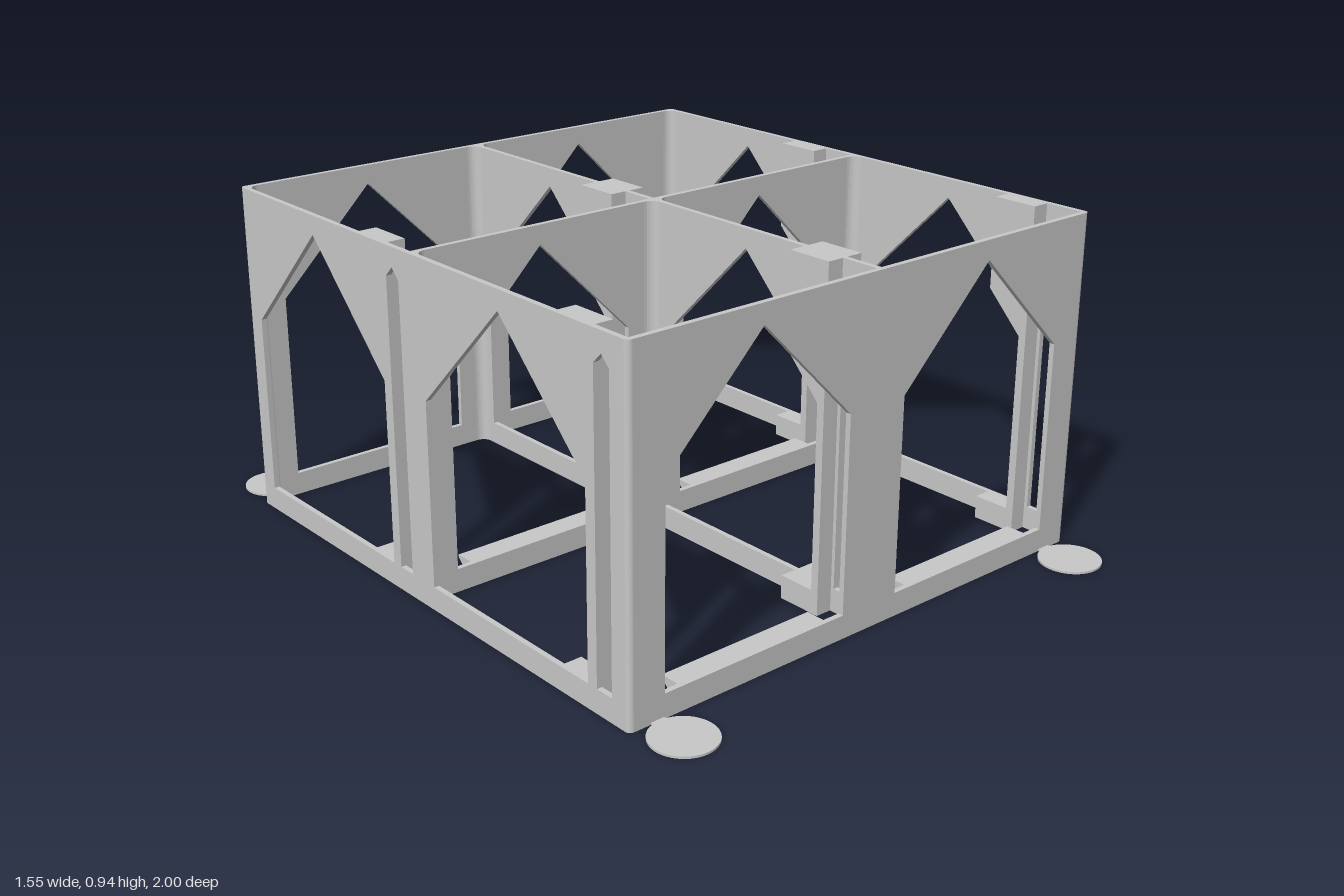
import * as THREE from 'three';

const H = 0.935, T = 0.015, SILL = 0.065, APEX = 0.882;
const X = 0.773, Z = 0.825, ZMID = -0.011;

export function createModel() {
  const grey = new THREE.MeshStandardMaterial({ color: 0xc8c8c8 });
  grey.name = 'light grey plastic';
  const model = new THREE.Group();

  const add = (name, geo, x = 0, y = 0, z = 0) => {
    const mesh = new THREE.Mesh(geo, grey);
    mesh.name = name;
    mesh.position.set(x, y, z);
    model.add(mesh);
  };
  const polygon = (pts) => new THREE.Shape(pts.map(([a, b]) => new THREE.Vector2(a, b)));
  const extrude = (shape, depth) => new THREE.ExtrudeGeometry(shape, { depth, bevelEnabled: false });
  // Extrude a (z, y) outline along +x; reversing keeps the mirrored outline counter-clockwise
  const extrudeX = (pts, depth, holes = []) => {
    const flip = (list) => list.map(([z, y]) => [-z, y]).reverse();
    const shape = polygon(flip(pts));
    shape.holes = holes.map((h) => polygon(flip(h)));
    return extrude(shape, depth).rotateY(Math.PI / 2);
  };
  const rect = (a, b) => [[a, 0], [b, 0], [b, H], [a, H]];
  // House-shaped opening
  const gable = (a, b, shoulder) =>
    [[a, SILL], [b, SILL], [b, shoulder], [(a + b) / 2, APEX], [a, shoulder]];

  // Front, middle and back walls
  const crossWall = polygon(rect(-X + T, X - T));
  crossWall.holes = [gable(0.093, 0.668, 0.597), gable(-0.668, -0.093, 0.597)].map(polygon);
  for (const [name, z] of [['frontWall', Z - T], ['middleWall', ZMID], ['backWall', -Z]])
    add(name, extrude(crossWall, T), 0, 0, z);

  // Side walls and centre divider, with a wide gable and a narrow slot per bay
  const bays = [0, -0.811];
  const sideHoles = bays.flatMap((d) => [
    gable(0.051 + d, 0.677 + d, 0.571), gable(0.71 + d, 0.764 + d, 0.855)]);
  for (const [name, x] of [['leftWall', X - T], ['centreDivider', -T / 2], ['rightWall', -X]])
    add(name, extrudeX(rect(-Z + T, Z - T), T, sideHoles), x);

  // Rounded outer corners, a quarter cylinder each
  [[1, 1], [1, -1], [-1, -1], [-1, 1]].forEach(([sx, sz], i) => {
    const quarter = new THREE.CylinderGeometry(T, T, H, 8, 1, false, i * Math.PI / 2, Math.PI / 2);
    add('outerCorner', quarter, sx * (X - T), H / 2, sz * (Z - T));
  });

  // Fillets in the rear corners of each cell
  const fillet = (sx) => {
    const r = 0.03, pts = [[0, 0]];
    for (let i = 0; i <= 6; i++) {
      const a = (i / 6) * Math.PI / 2;
      pts.push([sx * r * (1 - Math.sin(a)), r * (1 - Math.cos(a))]);
    }
    return extrude(polygon(pts), H).rotateX(Math.PI / 2);
  };
  for (const z of [-Z + T, ZMID + T])
    for (const [x, s] of [[-X + T, 1], [-T / 2, -1], [T / 2, 1], [X - T, -1]])
      add('cellFillet', fillet(s), x, H, z);

  // Bracket columns with a sloped overhang, and stop blocks at the floor
  const bracket = [[0.70, 0], [0.70, H], [0.57, H], [0.57, 0.681], [0.677, 0.571],
    [0.677, SILL], [0.57, SILL], [0.57, 0]];
  for (const d of bays)
    for (const [a, b] of [[-X + T, -0.708], [-0.055, 0.055], [0.708, X - T]])
      add('guideBracket', extrudeX(bracket.map(([z, y]) => [z + d, y]), b - a), a);

  // Sill ledges with a sloped underside
  for (const z of [Z - T, ZMID]) for (const x of [-0.618, 0.145])
    add('sillLedge', extrudeX([[z, SILL], [z, 0.005], [z - 0.055, 0.058], [z - 0.055, SILL]], 0.473), x);

  // Thin foot discs and their connecting tabs
  for (const x of [-0.69, 0.69]) for (const s of [-1, 1]) {
    add('footDisc', new THREE.CylinderGeometry(0.085, 0.085, 0.006, 48), x, 0.003, s * 0.915);
    add('footTab', new THREE.BoxGeometry(0.04, 0.005, 0.02), x, 0.003, s * 0.83);
  }
  return model;
}
